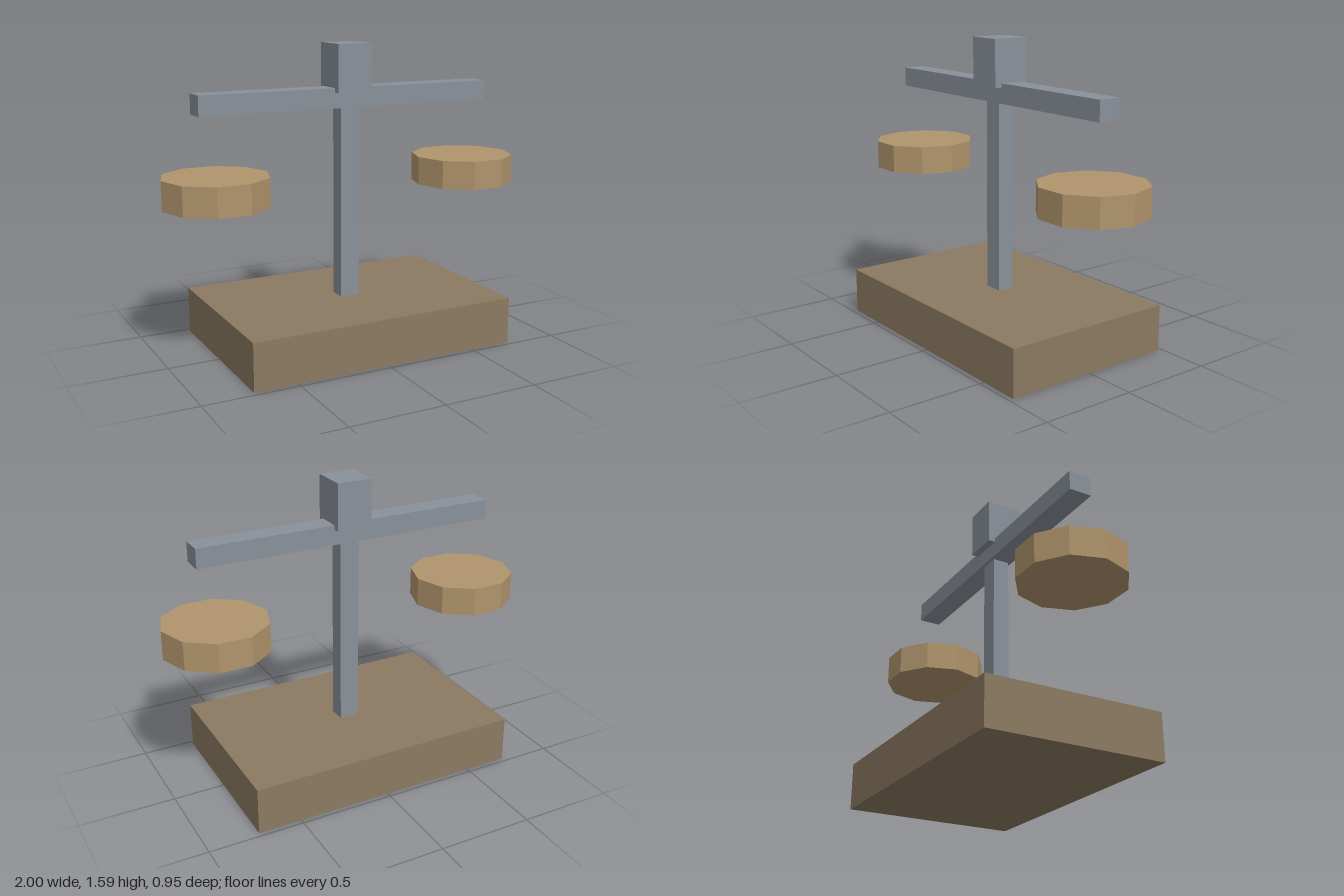
import * as THREE from 'three';

export function createModel() {
  const model = new THREE.Group();
  model.name = 'balanceScale';

  const material = (name, color) => {
    const m = new THREE.MeshStandardMaterial({ color });
    m.name = name;
    return m;
  };
  const wood = material('brown wood', 0x8b7a62);
  const brass = material('tan brass', 0xb0946c);
  const steel = material('grey steel', 0x89919a);
  brass.flatShading = true;

  const add = (name, geometry, mat, x, y, z = 0) => {
    const mesh = new THREE.Mesh(geometry, mat);
    mesh.name = name;
    mesh.position.set(x, y, z);
    model.add(mesh);
  };
  // box given by its bottom and top heights
  const box = (name, w, d, y0, y1, mat) =>
    add(name, new THREE.BoxGeometry(w, y1 - y0, d), mat, 0, (y0 + y1) / 2);

  // base, post, crossbeam and top block
  box('base', 1.46, 0.95, 0, 0.248, wood);
  box('post', 0.104, 0.09, 0.248, 1.26, steel);
  box('beam', 1.642, 0.122, 1.26, 1.364, steel);
  box('topBlock', 0.188, 0.2, 1.342, 1.588, steel);

  // ten-sided pans hovering below the beam ends, one corner pointing outwards
  const pan = new THREE.CylinderGeometry(0.277, 0.277, 0.152, 10).rotateY(Math.PI / 2);
  add('leftPan', pan, brass, 0.723, 0.88);
  add('rightPan', pan, brass, -0.723, 0.88);

  return model;
}
